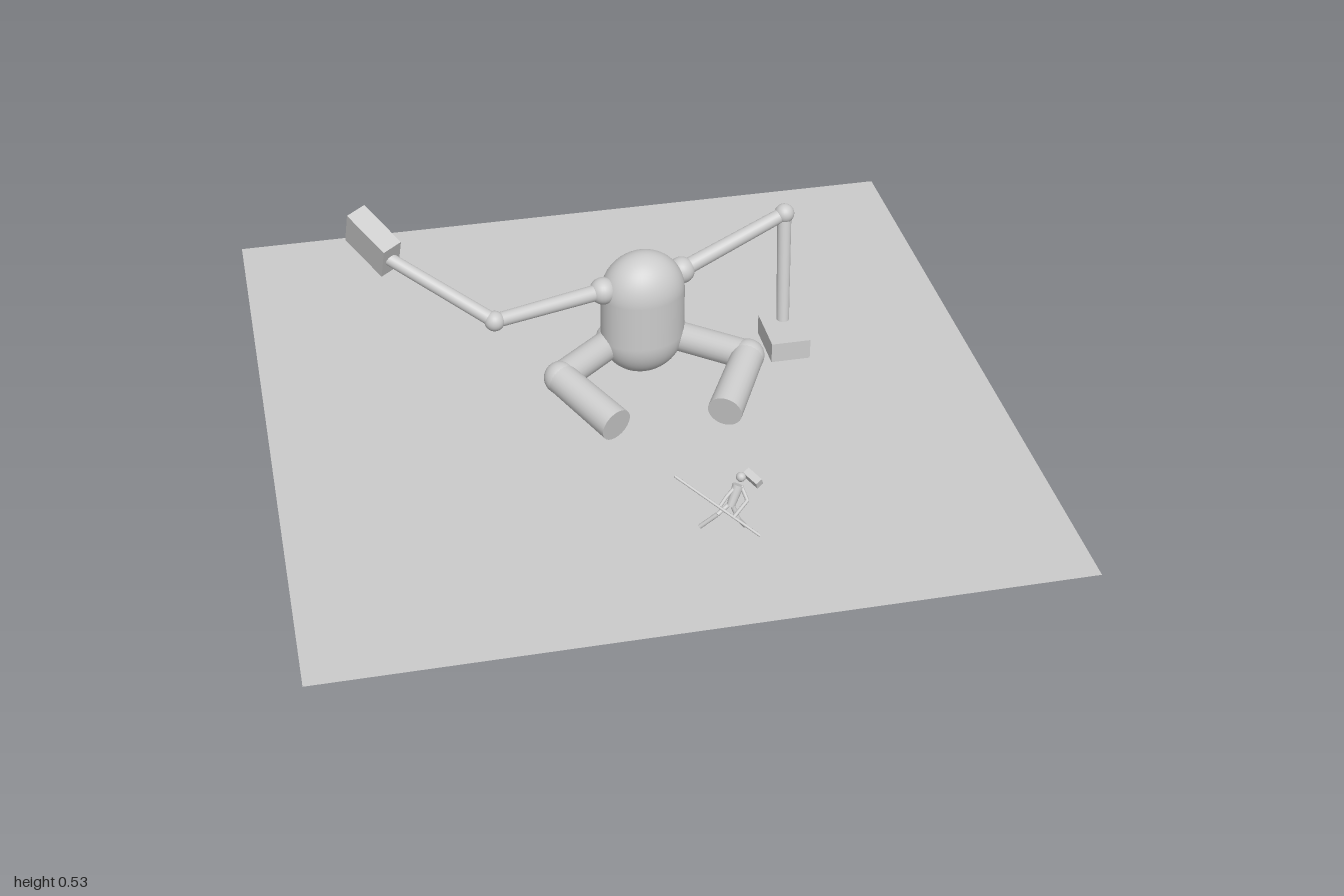
import * as THREE from 'three';

export function createModel() {
  const model = new THREE.Group();
  const grey = new THREE.MeshStandardMaterial({ color: 0xcccccc });
  const sheet = new THREE.MeshStandardMaterial({ color: 0xcccccc, side: THREE.DoubleSide });
  const V = (p) => new THREE.Vector3(...p);

  function add(parent, name, geometry, pos = [0, 0, 0], material = grey) {
    const mesh = new THREE.Mesh(geometry, material);
    mesh.name = name;
    mesh.position.set(...pos);
    parent.add(mesh);
    return mesh;
  }
  const ball = (parent, name, pos, r) =>
    add(parent, name, new THREE.SphereGeometry(r, 24, 16), pos);

  // Round limb running between two points
  function limb(parent, name, a, b, r0, r1 = r0, sides = 24) {
    const from = V(a), to = V(b), dir = to.clone().sub(from);
    const mesh = add(parent, name, new THREE.CylinderGeometry(r1, r0, dir.length(), sides));
    mesh.position.copy(from).add(to).multiplyScalar(0.5);
    mesh.quaternion.setFromUnitVectors(new THREE.Vector3(0, 1, 0), dir.normalize());
    return mesh;
  }

  // Ground
  const ground = add(model, 'ground', new THREE.PlaneGeometry(2, 2), [0, 0.006, 0], sheet);
  ground.rotation.x = -Math.PI / 2;

  // Seated giant
  const giant = new THREE.Group();
  giant.name = 'giant';
  model.add(giant);

  const torso = add(giant, 'torso', new THREE.CapsuleGeometry(0.12, 0.135, 16, 40), [0.067, 0.1875, -0.145]);
  torso.scale.z = 0.82;
  torso.rotation.y = 0.15;

  const arms = [
    { side: 'right', shoulder: [-0.05, 0.285, -0.12], elbow: [-0.365, 0.28, -0.04], wrist: [-0.625, 0.415, -0.2] },
    { side: 'left', shoulder: [0.185, 0.285, -0.18], elbow: [0.497, 0.39, -0.25], wrist: [0.485, 0.07, -0.18] },
  ];
  for (const { side, shoulder, elbow, wrist } of arms) {
    ball(giant, side + 'Shoulder', shoulder, 0.038);
    limb(giant, side + 'UpperArm', shoulder, elbow, 0.023, 0.02);
    ball(giant, side + 'Elbow', elbow, 0.028);
    limb(giant, side + 'Forearm', elbow, wrist, 0.02, 0.018);
  }

  // Block hands: one resting by the ground, one raised and turned
  const handShape = new THREE.BoxGeometry(0.112, 0.06, 0.155);
  add(giant, 'leftHand', handShape, [0.478, 0.05, -0.137]);
  const raised = add(giant, 'rightHand', handShape, [-0.66, 0.442, -0.255]);
  const thin = V([0.85, 0.17, -0.51]).normalize();
  const across = thin.clone().cross(V([0.53, -0.37, 0.77])).normalize();
  const along = across.clone().cross(thin);
  raised.quaternion.setFromRotationMatrix(new THREE.Matrix4().makeBasis(across, thin, along));

  // Bent legs, mirrored about the torso
  for (const [side, s] of [['left', 1], ['right', -1]]) {
    const at = (x, y, z) => [0.07 + s * x, y, z];
    const hip = at(0.08, 0.09, -0.16), knee = at(0.265, 0.1, 0.005);
    ball(giant, side + 'Hip', hip, 0.055);
    limb(giant, side + 'Thigh', hip, knee, 0.042);
    ball(giant, side + 'Knee', knee, 0.046);
    limb(giant, side + 'Shin', knee, at(0.15, 0.066, 0.207), 0.045, 0.048);
  }

  // Tiny figure facing the giant with a staff
  const figure = new THREE.Group();
  figure.name = 'smallFigure';
  model.add(figure);
  const chain = (name, points, r) => {
    for (let i = 1; i < points.length; i++) limb(figure, name, points[i - 1], points[i], r, r, 10);
  };
  limb(figure, 'body', [0.125, 0.1, 0.652], [0.148, 0.15, 0.635], 0.011, 0.015, 12);
  add(figure, 'head', new THREE.SphereGeometry(0.013, 12, 8), [0.158, 0.164, 0.622]);
  const pack = add(figure, 'pack', new THREE.BoxGeometry(0.02, 0.022, 0.05), [0.188, 0.16, 0.628]);
  pack.rotation.set(0.2, 0.5, 0.3);
  chain('rightLeg', [[0.12, 0.102, 0.65], [0.088, 0.085, 0.662], [0.045, 0.045, 0.652]], 0.006);
  chain('leftLeg', [[0.13, 0.1, 0.655], [0.142, 0.065, 0.662], [0.165, 0.026, 0.648]], 0.006);
  chain('rightArm', [[0.14, 0.148, 0.638], [0.115, 0.13, 0.65], [0.093, 0.112, 0.666]], 0.005);
  chain('leftArm', [[0.155, 0.148, 0.64], [0.165, 0.12, 0.665], [0.125, 0.09, 0.687]], 0.005);
  chain('staff', [[-0.01, 0.178, 0.602], [0.185, 0.05, 0.725]], 0.004);

  return model;
}
